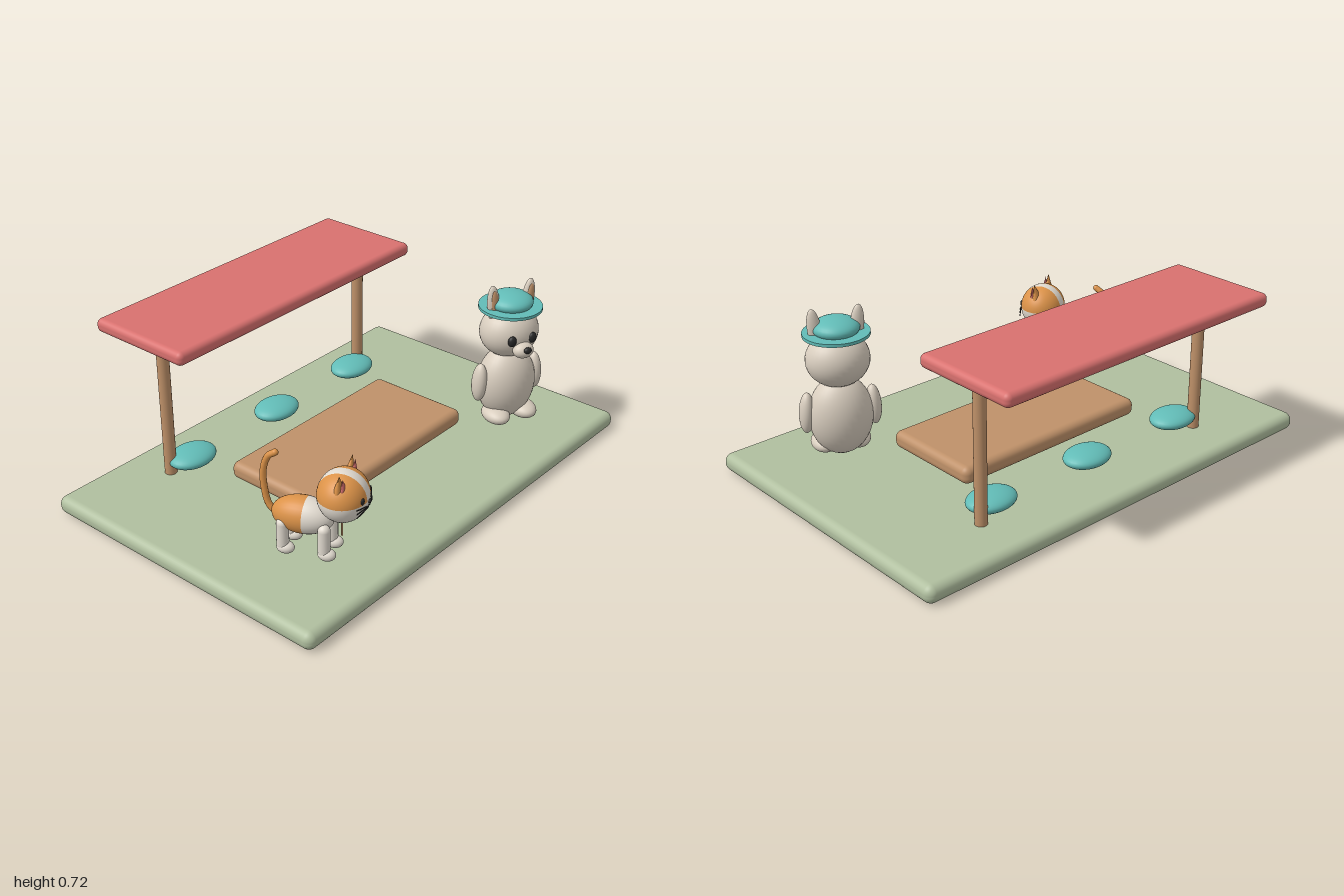
import * as THREE from 'three';
import { RoundedBoxGeometry } from 'three/addons/geometries/RoundedBoxGeometry.js';

const material = (name, color) => {
  const m = new THREE.MeshStandardMaterial({ color });
  m.name = name;
  return m;
};

export function createModel() {
  const model = new THREE.Group();
  model.name = 'picnicShelter';
  const sage = material('sage', 0xb0bf9f);
  const coral = material('coral', 0xd9716f);
  const wood = material('wood', 0xbf9169);
  const teal = material('teal', 0x62bcb7);
  const stone = material('stone', 0xd8cdbe);
  const ginger = material('ginger', 0xdb9248);
  const cream = material('cream', 0xe2dbd0);
  const black = material('black', 0x262626);

  const add = (parent, name, geometry, mat, pos = [0, 0, 0], scale = [1, 1, 1], rot = [0, 0, 0]) => {
    const mesh = new THREE.Mesh(geometry, mat);
    mesh.name = name;
    mesh.position.set(...pos);
    mesh.scale.set(...scale);
    mesh.rotation.set(...rot);
    parent.add(mesh);
    return mesh;
  };
  const ball = new THREE.SphereGeometry(1, 32, 20);
  const blob = (parent, name, mat, pos, radii, rot) => add(parent, name, ball, mat, pos, radii, rot);
  const slab = (name, mat, x, y, z, radius, pos) =>
    add(model, name, new RoundedBoxGeometry(x, y, z, 4, radius), mat, pos);

  // Ground, low table and canopy
  slab('ground', sage, 2, 0.076, 1.33, 0.035, [0, 0.038, 0.023]);
  slab('table', wood, 0.935, 0.075, 0.456, 0.03, [-0.002, 0.122, 0.023]);
  slab('canopy', coral, 1.375, 0.058, 0.475, 0.024, [0, 0.692, -0.455]);
  for (const s of [-1, 1])
    add(model, 'post', new THREE.CylinderGeometry(0.025, 0.025, 0.578, 24), wood, [s * 0.585, 0.361, -0.43]);
  for (const x of [-0.5, 0, 0.5]) blob(model, 'cushion', teal, [x, 0.13, -0.39], [0.108, 0.037, 0.083]);

  // Rabbit-eared figure with a hat
  const bear = new THREE.Group();
  bear.name = 'hattedAnimal';
  bear.position.set(0.645, 0, 0.345);
  bear.rotation.y = -0.42;
  model.add(bear);
  blob(bear, 'body', stone, [0, 0.26, 0], [0.13, 0.167, 0.105]);
  blob(bear, 'head', stone, [0, 0.5, 0], [0.128, 0.112, 0.113]);
  blob(bear, 'muzzle', stone, [0, 0.457, 0.115], [0.046, 0.034, 0.037]);
  blob(bear, 'nose', black, [0, 0.47, 0.15], [0.018, 0.014, 0.012]);
  for (const s of [-1, 1]) {
    blob(bear, 'eye', black, [s * 0.048, 0.5, 0.104], [0.019, 0.023, 0.015]);
    blob(bear, 'arm', stone, [s * 0.134, 0.282, 0.005], [0.031, 0.086, 0.038], [0, 0, s * 0.06]);
    blob(bear, 'foot', stone, [s * 0.066, 0.13, 0.04], [0.055, 0.036, 0.076]);
    blob(bear, 'ear', stone, [s * 0.083, 0.63, 0], [0.028, 0.087, 0.02], [0, 0, -s * 0.1]);
    blob(bear, 'innerEar', wood, [s * 0.083, 0.632, 0.014], [0.017, 0.066, 0.01], [0, 0, -s * 0.1]);
  }
  add(bear, 'hatBrim', new THREE.CylinderGeometry(0.133, 0.133, 0.013, 48), teal, [0, 0.609, 0]);
  blob(bear, 'hatCrown', teal, [0, 0.632, 0], [0.094, 0.042, 0.094]);

  // Cat
  const cat = new THREE.Group();
  cat.name = 'cat';
  cat.position.set(-0.62, 0, 0.365);
  cat.rotation.y = 0.39;
  model.add(cat);

  // Body: cream front, ginger rear
  const bodyPart = (start, length) =>
    new THREE.SphereGeometry(1, 32, 16, 0, Math.PI * 2, start, length).rotateX(Math.PI / 2);
  const split = 1.45;
  add(cat, 'chest', bodyPart(0, split), cream, [0, 0.235, -0.035], [0.07, 0.073, 0.12]);
  add(cat, 'rump', bodyPart(split, Math.PI - split), ginger, [0, 0.235, -0.035], [0.07, 0.073, 0.12]);

  // Legs and paws
  for (const z of [-0.1, 0.06])
    for (const s of [-1, 1]) {
      add(cat, 'leg', new THREE.CapsuleGeometry(0.024, 0.09, 8, 20), cream, [s * 0.044, 0.165, z]);
      blob(cat, 'paw', cream, [s * 0.044, 0.107, z + 0.01], [0.027, 0.024, 0.035]);
    }

  // Head: cream lower half and centre stripe, ginger sides
  const headAt = [0, 0.353, 0.12], headSize = [0.108, 0.1, 0.097];
  const headPart = (name, mat, phi, start, length) => add(cat, name,
    new THREE.SphereGeometry(1, 24, 24, phi, Math.PI, start, length).rotateZ(-Math.PI / 2),
    mat, headAt, headSize);
  const edge = Math.PI / 2 - 0.19;
  headPart('lowerFace', cream, Math.PI / 2, 0, Math.PI);
  headPart('headStripe', cream, -Math.PI / 2, edge, 0.38);
  headPart('headPatchLeft', ginger, -Math.PI / 2, 0, edge);
  headPart('headPatchRight', ginger, -Math.PI / 2, Math.PI - edge, edge);
  blob(cat, 'catNose', black, [0, 0.346, 0.218], [0.011, 0.008, 0.007]);
  for (const s of [-1, 1]) {
    blob(cat, 'catEye', black, [s * 0.043, 0.366, 0.204], [0.012, 0.014, 0.008]);
    add(cat, 'catEar', new THREE.ConeGeometry(0.036, 0.085, 24), ginger,
      [s * 0.069, 0.436, 0.125], [1, 1, 0.6], [0.1, 0, -s * 0.2]);
    add(cat, 'catInnerEar', new THREE.ConeGeometry(0.025, 0.062, 20), coral,
      [s * 0.068, 0.433, 0.14], [1, 1, 0.5], [0.02, 0, -s * 0.2]);
    for (const k of [-1, 0, 1])
      add(cat, 'whisker', new THREE.CylinderGeometry(0.002, 0.002, 0.06, 6), black,
        [s * 0.056, 0.335 + k * 0.01, 0.207], [1, 1, 1], [0, s * 0.35, Math.PI / 2 + s * k * 0.2]);
    add(cat, 'mouth', new THREE.TorusGeometry(0.01, 0.002, 6, 12, Math.PI), black,
      [s * 0.01, 0.333, 0.215], [1, 1, 1], [0, 0, Math.PI]);
  }

  // Tail with a rounded tip
  const tailPath = new THREE.CatmullRomCurve3([
    [-0.125, 0.215], [-0.165, 0.25], [-0.183, 0.32], [-0.185, 0.4], [-0.165, 0.46], [-0.138, 0.48],
  ].map(([z, y]) => new THREE.Vector3(0, y, z)));
  add(cat, 'tail', new THREE.TubeGeometry(tailPath, 32, 0.013, 12), ginger);
  blob(cat, 'tailTip', ginger, [0, 0.48, -0.138], [0.013, 0.013, 0.013]);

  // Small flag beside the cat
  add(cat, 'flagPole', new THREE.CylinderGeometry(0.004, 0.004, 0.15, 10), wood, [0.075, 0.192, 0.09]);
  add(cat, 'flag', new THREE.BoxGeometry(0.058, 0.043, 0.008), ginger, [0.104, 0.246, 0.09]);

  return model;
}
